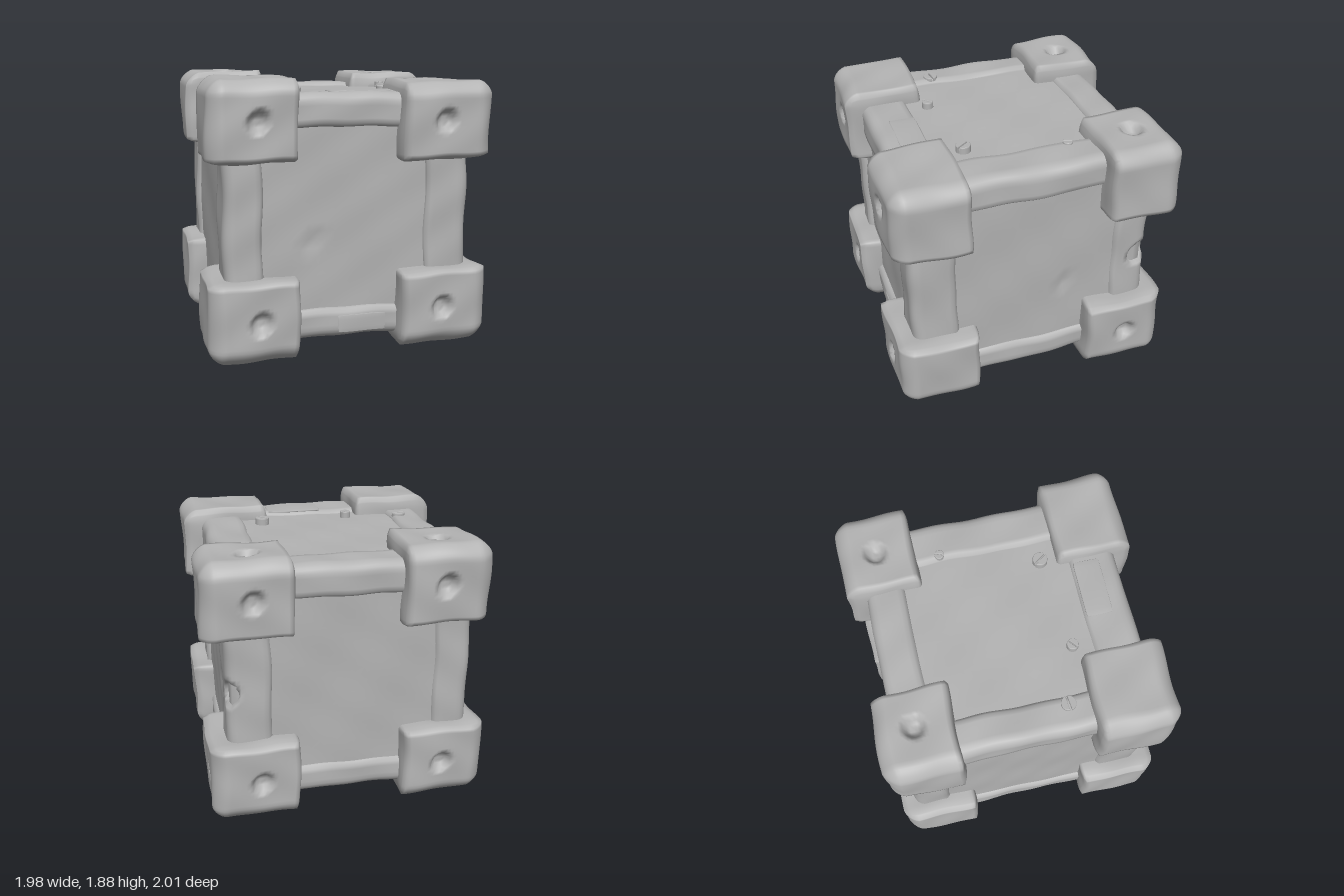
import * as THREE from 'three';
import { mergeVertices } from 'three/addons/utils/BufferGeometryUtils.js';

const metal = new THREE.MeshStandardMaterial({ color: 0xb3b3b3 });
metal.name = 'worn grey metal';

// Box between two corners with its own bevel on each side, a slight wobble,
// and dents given as { c: centre, r: radius, n: push direction with depth }
function wornBox(min, max, rMin, rMax, step, dents = [], wobble = 0.006) {
  const size = max.map((m, i) => m - min[i]);
  const box = new THREE.BoxGeometry(...size, ...size.map((s) => Math.max(4, Math.round(s / step))));
  box.deleteAttribute('uv');
  box.deleteAttribute('normal');
  const geo = mergeVertices(box, 1e-4);
  const pos = geo.attributes.position;
  for (let i = 0; i < pos.count; i++) {
    const p = [pos.getX(i), pos.getY(i), pos.getZ(i)].map((v, a) => v + (min[a] + max[a]) / 2);
    // bevel: pull points near edges and corners onto a soft chamfer
    const q = p.map((v, a) => Math.min(Math.max(v, min[a] + rMin[a]), max[a] - rMax[a]));
    const r = p.map((v, a) => (v < q[a] ? rMin[a] : rMax[a]));
    const d = p.map((v, a) => (v - q[a]) / r[a]);
    const len = Math.pow(d.reduce((s, v) => s + Math.pow(Math.abs(v), 1.5), 0), 1 / 1.5);
    const o = q.map((v, a) => v + (d[a] * r[a]) / Math.max(len, 1));
    // hand-worn unevenness
    const w = o.map((v, a) => {
      const b = o[(a + 1) % 3], c = o[(a + 2) % 3];
      return v + wobble * (Math.sin(9 * b + 5 * c + a) + 0.6 * Math.sin(17 * c - 11 * b + 2 * a));
    });
    for (const { c, r: rad, n } of dents) {
      const dist = Math.hypot(...o.map((v, a) => v - c[a]));
      const k = 1 - THREE.MathUtils.smoothstep(dist, rad * 0.55, rad);
      n.forEach((v, a) => { w[a] += v * k; });
    }
    pos.setXYZ(i, ...w);
  }
  geo.computeVertexNormals();
  return geo;
}

function part(geo, name) {
  const m = new THREE.Mesh(geo, metal);
  m.name = name;
  return m;
}

// Corner blocks: [min, max, faces that carry a bolt hole]
const corners = [
  [[-0.97, 1.33, 0.43], [-0.375, 1.87, 0.98], ['z']],
  [[0.325, 1.32, 0.46], [0.96, 1.84, 0.99], ['z']],
  [[-0.98, 0.01, 0.42], [-0.37, 0.56, 0.99], ['z']],
  [[0.32, 0.04, 0.42], [0.95, 0.57, 0.99], ['z']],
  [[-0.95, 1.33, -0.98], [-0.355, 1.87, -0.46], ['z', 'y']],
  [[0.375, 1.33, -1.0], [0.98, 1.85, -0.48], ['z', 'y']],
  [[-0.97, 0.02, -0.98], [-0.37, 0.56, -0.42], ['z', 'y']],
  [[0.35, 0.01, -0.99], [0.96, 0.57, -0.39], ['z', 'y', 'x']],
];

function cornerBlock([min, max, holes]) {
  const mid = min.map((m, i) => (m + max[i]) / 2);
  const sign = [Math.sign(mid[0]), Math.sign(mid[1] - 0.94), Math.sign(mid[2])];
  const outer = 0.1, inner = 0.025;
  const dents = holes.map((axis) => {
    const a = 'xyz'.indexOf(axis);
    const c = [...mid];
    c[0] -= sign[0] * 0.03;
    c[a] = sign[a] > 0 ? max[a] : min[a];
    const n = [0, 0, 0];
    n[a] = -sign[a] * 0.06;
    return { c, r: 0.08, n };
  });
  return wornBox(min, max,
    sign.map((s) => (s < 0 ? outer : inner)),
    sign.map((s) => (s > 0 ? outer : inner)), 0.024, dents);
}

// Round screw head with a slot: two half discs
function screw(x, z, up, turn, r = 0.047) {
  const g = new THREE.Group();
  g.name = 'screw';
  for (const flip of [0, Math.PI]) {
    const s = new THREE.Shape();
    s.absarc(0, 0, r, 0.2, Math.PI - 0.2, false);
    s.closePath();
    const geo = new THREE.ExtrudeGeometry(s, {
      depth: 0.05, bevelThickness: 0.008, bevelSize: 0.004, bevelSegments: 2, curveSegments: 14,
    });
    geo.rotateX(-Math.PI / 2);
    geo.rotateY(turn + flip);
    g.add(part(geo, 'screwHeadHalf'));
  }
  const base = part(new THREE.CylinderGeometry(r, r, 0.04, 20), 'screwBase');
  base.position.y = 0.015;
  g.add(base);
  g.position.set(x, up ? 1.73 : 0.15, z);
  if (!up) g.rotation.x = Math.PI;
  return g;
}

export function createModel() {
  const model = new THREE.Group();
  model.name = 'crate';

  // Recessed panels: one core body
  model.add(part(wornBox([-0.83, 0.14, -0.84], [0.8, 1.74, 0.83],
    [0.03, 0.03, 0.03], [0.03, 0.03, 0.03], 0.06, [
      { c: [-0.26, 0.77, 0.83], r: 0.06, n: [0, 0, -0.02] },
      { c: [0.8, 0.77, -0.24], r: 0.06, n: [-0.02, 0, 0] },
    ], 0.003), 'panels'));

  // Frame beams along the twelve edges: low and high span on each axis
  const low = [[-0.86, -0.6], [0.11, 0.32], [-0.87, -0.6]];
  const high = [[0.52, 0.83], [1.54, 1.77], [0.54, 0.87]];
  const run = [[-0.5, 0.5], [0.4, 1.5], [-0.6, 0.6]];
  const names = ['crossBeam', 'uprightBeam', 'sideBeam'];
  const notch = [{ c: [0.83, 0.91, -0.82], r: 0.1, n: [-0.06, 0, 0.05] }];
  for (let axis = 0; axis < 3; axis++) {
    for (let k = 0; k < 4; k++) {
      const min = [], max = [], rMin = [], rMax = [];
      let bit = 0;
      for (let a = 0; a < 3; a++) {
        const isHigh = a !== axis && (k >> bit++) & 1;
        [min[a], max[a]] = a === axis ? run[a] : isHigh ? high[a] : low[a];
        rMin[a] = a === axis ? 0.01 : isHigh ? 0.025 : 0.06;
        rMax[a] = a === axis ? 0.01 : isHigh ? 0.06 : 0.025;
      }
      model.add(part(wornBox(min, max, rMin, rMax, 0.03, notch, 0.005), names[axis]));
    }
  }

  // Corner blocks
  corners.forEach((c) => model.add(part(cornerBlock(c), 'cornerBlock')));

  // Thin patches worn into the front beams
  const soft = [0.008, 0.008, 0.004];
  model.add(part(wornBox([-0.1, 0.15, 0.86], [0.24, 0.27, 0.878], soft, soft, 0.04, [], 0.003), 'frontPatch'));
  model.add(part(wornBox([-0.11, 1.76, 0.56], [0.3, 1.776, 0.74],
    [0.008, 0.004, 0.008], [0.008, 0.004, 0.008], 0.04, [], 0.003), 'topPatch'));

  // Screws on the lid and the underside
  for (const up of [true, false]) {
    model.add(screw(-0.67, 0.28, up, 0.1));
    model.add(screw(-0.28, 0.41, up, 0.7, 0.036));
    model.add(screw(0.38, 0.35, up, 2.2));
    model.add(screw(0.57, -0.32, up, 1.2, 0.03));
  }
  return model;
}
